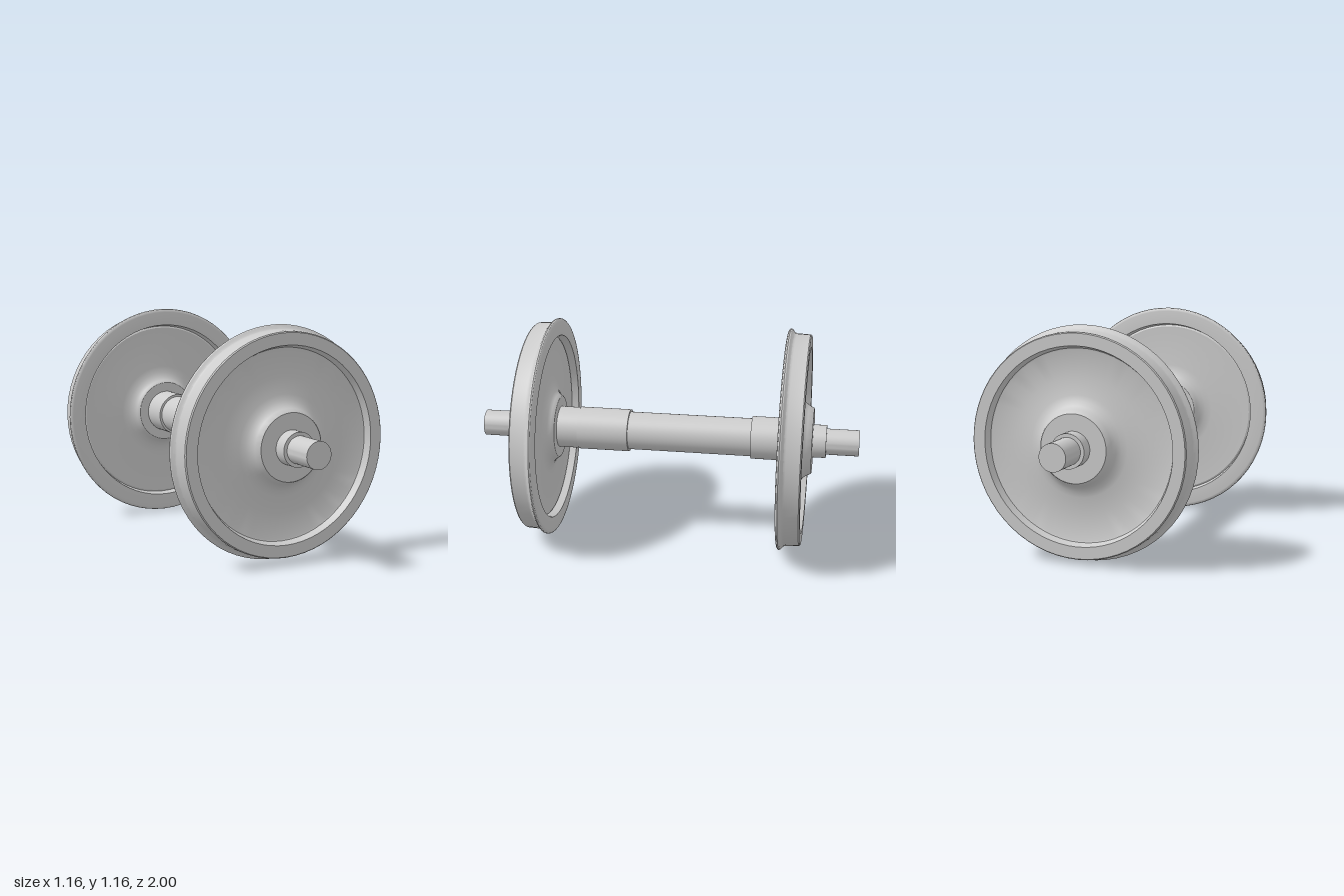
import * as THREE from 'three';
import { toCreasedNormals } from 'three/addons/utils/BufferGeometryUtils.js';

const AXLE_HEIGHT = 0.58;
const material = new THREE.MeshStandardMaterial({ color: 0xcccccc });

// Turn a [radius, z] profile about the z axis
function turned(name, profile, segments) {
  const points = profile.map(([r, z]) => new THREE.Vector2(r, z));
  const geometry = new THREE.LatheGeometry(points, segments);
  geometry.rotateX(Math.PI / 2);
  const mesh = new THREE.Mesh(toCreasedNormals(geometry, 0.5), material);
  mesh.name = name;
  return mesh;
}

// Flanged wheel: inner face, flange, tread, outer face, then back to the bore
const wheelProfile = [
  [0.1, 0.59], [0.162, 0.59], [0.168, 0.594], [0.175, 0.607],
  [0.19, 0.622], [0.215, 0.634], [0.25, 0.64],
  [0.472, 0.64], [0.481, 0.645], [0.49, 0.605],
  [0.562, 0.605], [0.572, 0.607], [0.578, 0.612], [0.58, 0.618],
  [0.577, 0.625], [0.569, 0.631], [0.56, 0.639], [0.556, 0.65],
  [0.553, 0.72], [0.548, 0.726],
  [0.488, 0.726], [0.475, 0.688], [0.468, 0.685],
  [0.335, 0.685], [0.25, 0.693], [0.222, 0.701], [0.2, 0.714],
  [0.186, 0.732], [0.173, 0.757], [0.169, 0.76], [0.08, 0.76],
];

// Stepped shaft with journals at both ends and a longer seat at the front
const axleProfile = [
  [0, -1], [0.068, -1], [0.068, -0.83],
  [0.086, -0.83], [0.086, -0.758],
  [0.112, -0.758], [0.112, -0.44],
  [0.1, -0.44], [0.1, 0.21],
  [0.112, 0.21], [0.112, 0.48],
  [0.109, 0.48], [0.109, 0.758],
  [0.086, 0.758], [0.086, 0.83],
  [0.068, 0.83], [0.068, 1], [0, 1],
];

export function createModel() {
  const model = new THREE.Group();
  model.name = 'wheelset';

  const axle = turned('axle', axleProfile, 48);
  const frontWheel = turned('frontWheel', wheelProfile, 64);

  // The rear wheel is the same part turned to face backwards
  const rearWheel = frontWheel.clone();
  rearWheel.name = 'rearWheel';
  rearWheel.rotation.y = Math.PI;

  for (const part of [axle, frontWheel, rearWheel]) {
    part.position.y = AXLE_HEIGHT;
    model.add(part);
  }
  return model;
}
